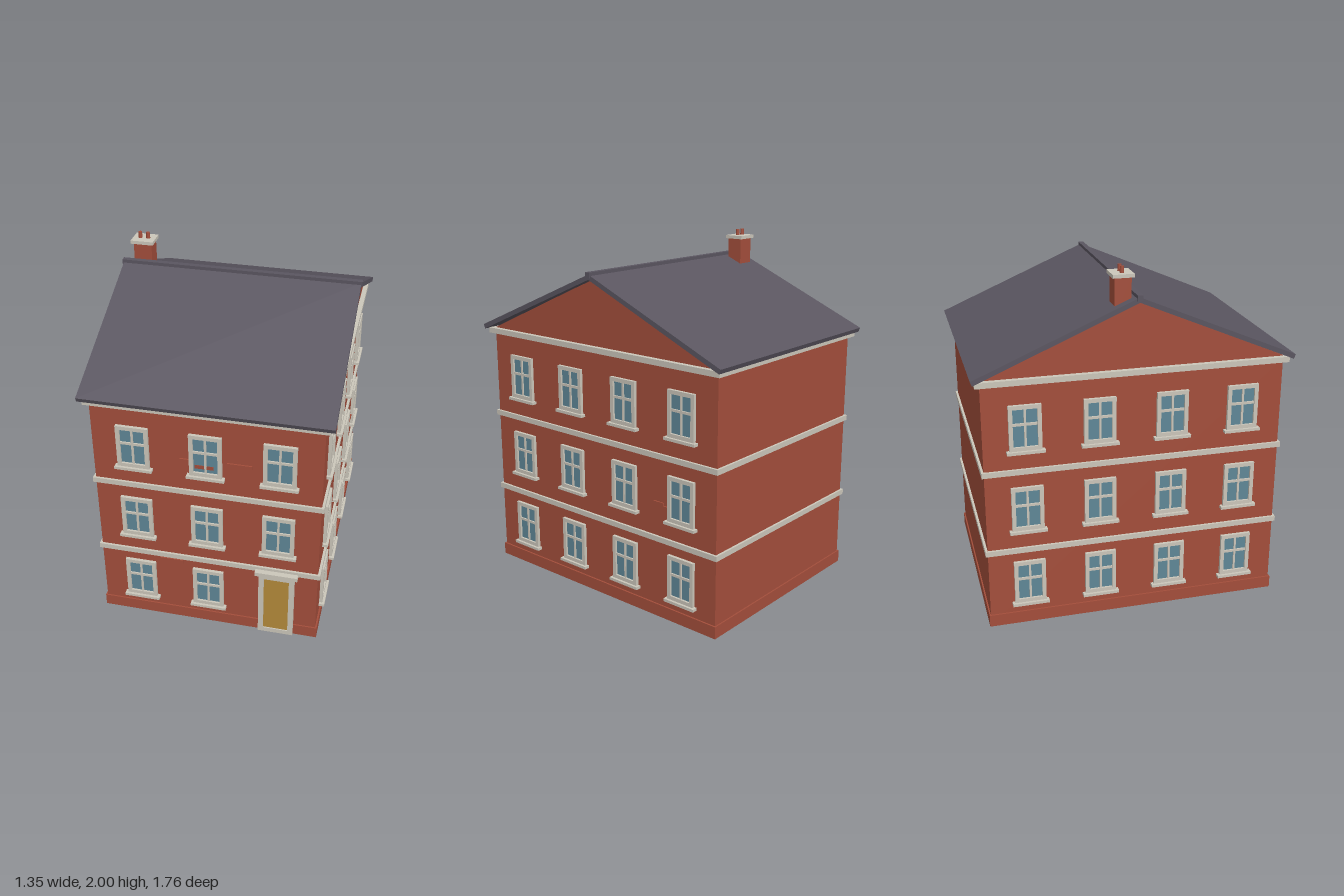
import * as THREE from 'three';

function material(name, color) {
  const m = new THREE.MeshStandardMaterial({ color });
  m.name = name;
  return m;
}

export function createModel() {
  const brick = material('brick', 0xa34e3b);
  const trim = material('stone trim', 0xcbc6ba);
  const slate = material('roof slate', 0x5a5560);
  const glass = material('window glass', 0x5f8797);
  const ochre = material('door paint', 0xb48a3a);

  const house = new THREE.Group();
  house.name = 'townhouse';

  // Box given by its lower and upper corners
  function box(parent, name, mat, x0, x1, y0, y1, z0, z1) {
    const mesh = new THREE.Mesh(new THREE.BoxGeometry(x1 - x0, y1 - y0, z1 - z0), mat);
    mesh.position.set((x0 + x1) / 2, (y0 + y1) / 2, (z0 + z1) / 2);
    mesh.name = name;
    parent.add(mesh);
    return mesh;
  }

  // Profile drawn as [z, y] points and extruded along x
  function prism(name, mat, points, halfLength) {
    const shape = new THREE.Shape(points.map(([z, y]) => new THREE.Vector2(-z, y)));
    const geo = new THREE.ExtrudeGeometry(shape, { depth: halfLength * 2, bevelEnabled: false });
    geo.translate(0, 0, -halfLength);
    geo.rotateY(Math.PI / 2);
    const mesh = new THREE.Mesh(geo, mat);
    mesh.name = name;
    house.add(mesh);
  }

  // Walls, plinth and stone bands
  box(house, 'walls', brick, -0.62, 0.62, 0.01, 1.44, -0.83, 0.83);
  box(house, 'plinth', brick, -0.63, 0.63, 0, 0.07, -0.838, 0.838);
  for (const y of [0.446, 0.917]) {
    box(house, 'stringCourse', trim, -0.634, 0.634, y, y + 0.03, -0.843, 0.843);
  }
  box(house, 'cornice', trim, -0.648, 0.648, 1.425, 1.456, -0.857, 0.857);

  // Gable and roof
  prism('gable', brick, [[-0.845, 1.45], [0.845, 1.45], [0, 1.825]], 0.62);
  prism('roof', slate, [
    [0.87, 1.45], [0.88, 1.475], [0, 1.85], [-0.88, 1.475], [-0.87, 1.45], [0, 1.822],
  ], 0.67);
  box(house, 'ridgeCap', slate, -0.677, 0.677, 1.832, 1.862, -0.015, 0.015);

  // Chimney with two pots
  const chimney = new THREE.Group();
  chimney.name = 'chimney';
  house.add(chimney);
  box(chimney, 'chimneyStack', brick, -0.62, -0.517, 1.74, 1.946, -0.122, -0.032);
  box(chimney, 'chimneyCap', trim, -0.634, -0.505, 1.946, 1.965, -0.135, -0.02);
  for (const x of [-0.593, -0.548]) {
    const pot = new THREE.Mesh(new THREE.CylinderGeometry(0.01, 0.012, 0.036, 12), brick);
    pot.position.set(x, 1.982, -0.077);
    pot.name = 'chimneyPot';
    chimney.add(pot);
  }

  // Window frame shared by all windows
  const W = 0.176, H = 0.256, B = 0.022;
  const rect = (T, x, y) => {
    const p = new T();
    p.moveTo(-x, -y).lineTo(x, -y).lineTo(x, y).lineTo(-x, y).closePath();
    return p;
  };
  const frameShape = rect(THREE.Shape, W / 2, H / 2);
  frameShape.holes.push(rect(THREE.Path, W / 2 - B, H / 2 - B));
  const frameGeo = new THREE.ExtrudeGeometry(frameShape, { depth: 0.018, bevelEnabled: false });

  // Window facing +z, with its back on the wall plane
  function makeWindow() {
    const g = new THREE.Group();
    g.name = 'window';
    const frame = new THREE.Mesh(frameGeo, trim);
    frame.name = 'windowFrame';
    g.add(frame);
    box(g, 'windowPane', glass, -W / 2 + B, W / 2 - B, -H / 2 + B, H / 2 - B, 0, 0.006);
    box(g, 'mullion', trim, -0.006, 0.006, -H / 2 + B, H / 2 - B, 0, 0.013);
    box(g, 'transom', trim, -W / 2 + B, W / 2 - B, 0.013, 0.027, 0, 0.014);
    box(g, 'windowSill', trim, -0.103, 0.103, -H / 2 - 0.015, -H / 2 + 0.001, 0, 0.032);
    return g;
  }

  [0.262, 0.713, 1.183].forEach((y, floor) => {
    // Front windows; the door takes one bay on the ground floor
    for (const x of [-0.395, 0, 0.395]) {
      if (floor === 0 && x > 0.1) continue;
      const w = makeWindow();
      w.position.set(x, y, 0.83);
      house.add(w);
    }
    // Windows on both gable walls
    for (const side of [-1, 1]) {
      for (const z of [-0.603, -0.201, 0.201, 0.603]) {
        const w = makeWindow();
        w.position.set(side * 0.62, y, z);
        w.rotation.y = side * Math.PI / 2;
        house.add(w);
      }
    }
  });

  // Front door
  const door = new THREE.Group();
  door.name = 'frontDoor';
  house.add(door);
  box(door, 'doorJamb', trim, 0.292, 0.322, 0, 0.437, 0.82, 0.853);
  box(door, 'doorJamb', trim, 0.464, 0.494, 0, 0.437, 0.82, 0.853);
  box(door, 'doorHead', trim, 0.322, 0.464, 0.402, 0.437, 0.82, 0.853);
  box(door, 'doorStep', trim, 0.322, 0.464, 0, 0.028, 0.82, 0.853);
  box(door, 'doorLeaf', ochre, 0.322, 0.464, 0.028, 0.402, 0.82, 0.846);
  box(door, 'doorHood', trim, 0.273, 0.513, 0.436, 0.46, 0.82, 0.873);

  // Slightly raised brick patches
  for (const [x0, x1, y] of [[-0.14, -0.09, 1.125], [-0.06, 0.043, 1.098], [0.115, 0.25, 1.133], [-0.28, -0.145, 0.412]]) {
    box(house, 'brickPatch', brick, x0, x1, y, y + 0.022, 0.829, 0.838);
  }
  for (const [z0, z1, y] of [[-0.48, -0.41, 0.652], [-0.53, -0.48, 0.636]]) {
    box(house, 'brickPatch', brick, 0.619, 0.628, y, y + 0.022, z0, z1);
  }

  return house;
}
